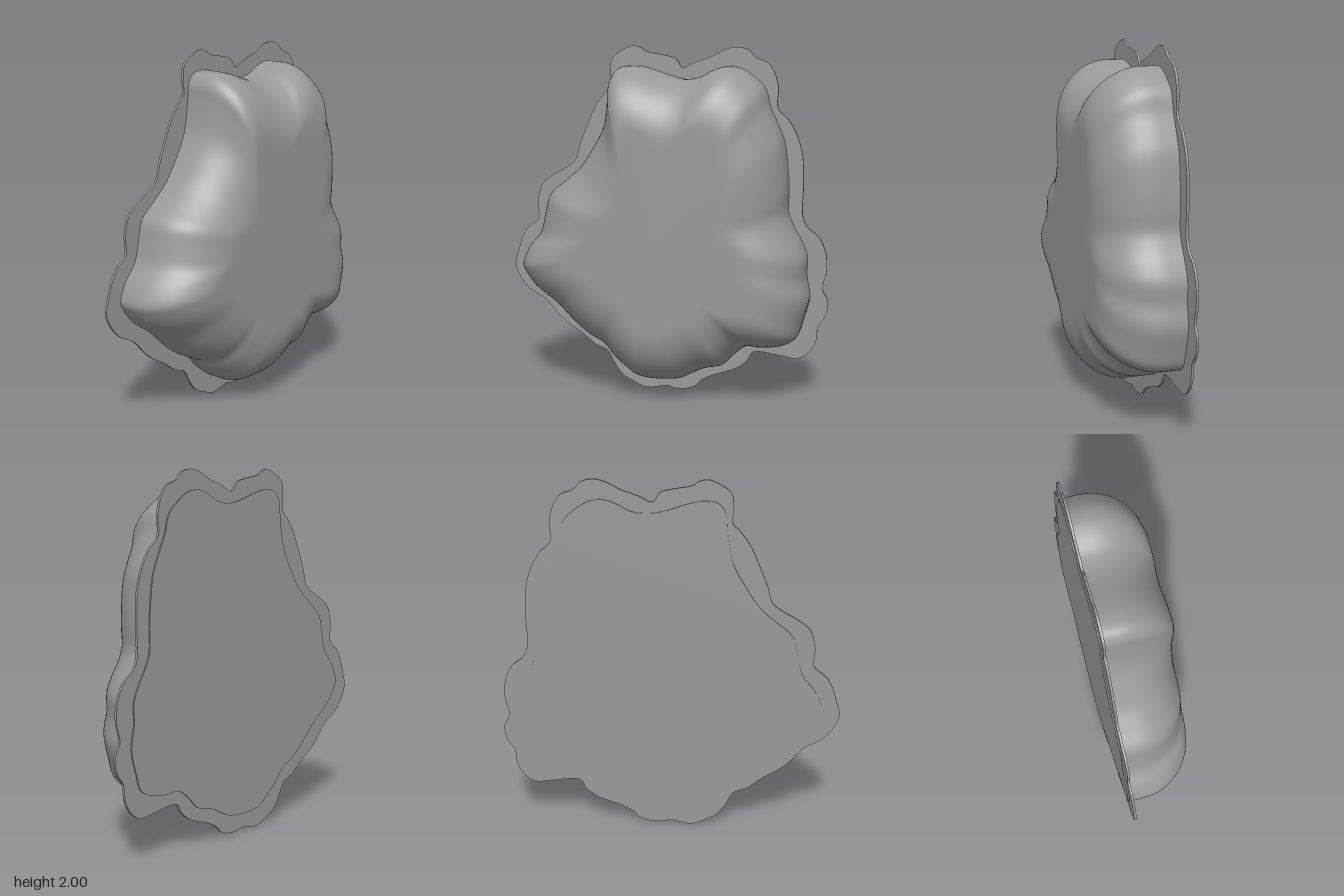
import * as THREE from 'three';

// Outlines in hundredths of a unit, clockwise from the upper left
const BODY = [
  -25, 188, -17, 189, -8, 187, 1, 184, 11, 182, 20, 183, 28, 187, 35, 189, 42, 188, 50, 183, 56, 177,
  59, 167, 63, 158, 67, 148, 69, 135, 70, 121, 70, 109, 73, 101, 78, 92, 81, 84, 81, 73, 83, 61,
  80, 48, 77, 39, 71, 35, 60, 33, 50, 33, 42, 27, 36, 21, 25, 18, 17, 14, 10, 11, -12, 11,
  -20, 16, -28, 23, -33, 29, -42, 34, -52, 42, -62, 52, -75, 62, -81, 70, -83, 75, -79, 85, -72, 94,
  -69, 105, -66, 116, -57, 124, -48, 132, -41, 142, -33, 157, -30, 174, -29, 183,
];
const RIM = [
  -20, 200, -15, 199, -12, 197, -2, 195, 5, 193, 9, 188, 16, 191, 25, 194, 29, 196, 33, 198, 39, 199.5,
  46, 198, 50, 194, 57, 191, 61, 185, 63, 177, 63, 166, 69, 160, 74, 151, 77, 141, 78, 124, 78, 106,
  81, 100, 87, 95, 91, 87, 92, 76, 90, 65, 93, 59, 92, 50, 88, 44, 87, 35, 83, 28, 77, 24,
  67, 25, 51, 26, 48, 21, 42, 16, 35, 13, 29, 11, 21, 7, 17, 3, 11, 1, 4, 1, 0, 2,
  -12, 0, -20, 3, -27, 7, -32, 14, -36, 21, -43, 24, -52, 31, -60, 36, -66, 41, -74, 50, -84, 56,
  -90, 63, -93, 71, -91, 79, -88, 88, -84, 94, -78, 99, -78, 110, -75, 120, -69, 125, -55, 134, -52, 143,
  -48, 153, -42, 166, -36, 174, -33, 177, -33, 186, -32, 193, -27, 197,
];
const BACK = -0.207, FRONT = 0.203;

// Smooth closed outline, returned counter-clockwise
function outline(flat, count) {
  const pts = [];
  for (let i = 0; i < flat.length; i += 2) pts.push(new THREE.Vector3(flat[i] / 100, flat[i + 1] / 100, 0));
  const curve = new THREE.CatmullRomCurve3(pts.reverse(), true, 'centripetal');
  return curve.getPoints(count).slice(0, count).map((p) => new THREE.Vector2(p.x, p.y));
}

// Domed shell: outline rings drawn in towards the centre along a rounded profile
function domeGeometry(pts) {
  const centre = new THREE.Vector2(0, 0.95);
  const inset = 0.34, rise = 0.31, steps = 16;
  const profile = [[0, BACK], [0, -0.16]];
  for (let k = 0; k <= steps; k++) {
    const a = (k / steps) * Math.PI / 2;
    profile.push([inset * (1 - Math.cos(a)), FRONT - rise + rise * Math.sin(a)]);
  }
  profile.push([inset + 0.03, FRONT]);
  const n = pts.length, pos = [], index = [];
  for (const [d, z] of profile) {
    for (const p of pts) {
      const v = p.clone().sub(centre);
      v.setLength(v.length() - d).add(centre);
      pos.push(v.x, v.y, z);
    }
  }
  const tip = pos.length / 3, last = profile.length - 1;
  pos.push(centre.x, centre.y, FRONT);
  for (let i = 0; i < n; i++) {
    const j = (i + 1) % n;
    for (let k = 0; k < last; k++) {
      const a = k * n + i, b = k * n + j;
      index.push(a, b, b + n, a, b + n, a + n);
    }
    index.push(last * n + i, last * n + j, tip);
  }
  const geo = new THREE.BufferGeometry();
  geo.setAttribute('position', new THREE.Float32BufferAttribute(pos, 3));
  geo.setIndex(index);
  geo.computeVertexNormals();
  return geo;
}

export function createModel() {
  const group = new THREE.Group();
  const grey = new THREE.MeshStandardMaterial({ color: 0x999999 });
  grey.name = 'grey';
  const add = (name, geo) => {
    const mesh = new THREE.Mesh(geo, grey);
    mesh.name = name;
    group.add(mesh);
    return mesh;
  };
  const bodyPts = outline(BODY, 260);

  // Rounded, lobed body
  add('body', domeGeometry(bodyPts));

  // Flat back of the body, facing -z
  const back = new THREE.ShapeGeometry(new THREE.Shape(bodyPts.map((p) => new THREE.Vector2(-p.x, p.y))));
  back.rotateY(Math.PI);
  add('backPlate', back).position.z = BACK;

  // Thin scalloped flange around the body
  const rimShape = new THREE.Shape(outline(RIM, 300));
  rimShape.holes.push(new THREE.Path(bodyPts));
  add('flange', new THREE.ExtrudeGeometry(rimShape, { depth: 0.014, bevelEnabled: false })).position.z = -0.2;

  return group;
}
